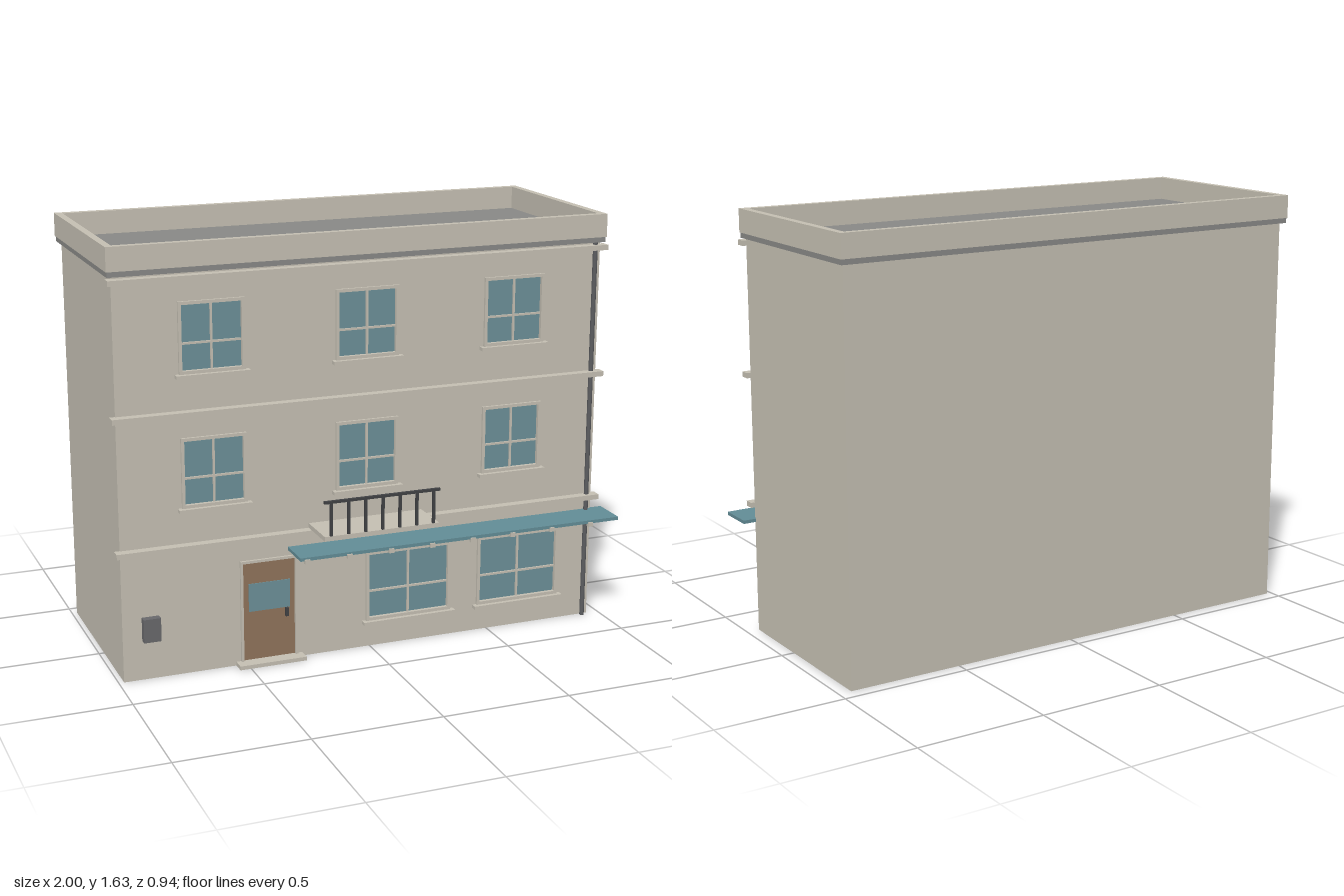
import * as THREE from 'three';

const mat = (name, color, extra = {}) => {
  const m = new THREE.MeshStandardMaterial({ color, ...extra });
  m.name = name;
  return m;
};

export function createModel() {
  const stone = mat('stone', 0xc4bfb2);
  const roofGrey = mat('roof grey', 0x888886);
  const glass = mat('glass', 0x6c8f97);
  const awningBlue = mat('awning blue', 0x628c96);
  const wood = mat('door wood', 0x8f735b);
  const iron = mat('iron', 0x404144);
  const pipeGrey = mat('pipe grey', 0x5c5d60);
  const boxGrey = mat('box grey', 0x68686b);

  const model = new THREE.Group();
  model.name = 'townhouse';

  const group = (name) => {
    const g = new THREE.Group();
    g.name = name;
    model.add(g);
    return g;
  };
  // Box given by its limits on each axis
  const box = (parent, name, material, [x0, x1], [y0, y1], [z0, z1]) => {
    const mesh = new THREE.Mesh(new THREE.BoxGeometry(x1 - x0, y1 - y0, z1 - z0), material);
    mesh.position.set((x0 + x1) / 2, (y0 + y1) / 2, (z0 + z1) / 2);
    mesh.name = name;
    parent.add(mesh);
    return mesh;
  };
  const rectPath = (path, x0, x1, y0, y1) =>
    path.moveTo(x0, y0).lineTo(x1, y0).lineTo(x1, y1).lineTo(x0, y1).closePath();

  const L = -0.98, R = 0.95, BACK = -0.45, FRONT = 0.3, T = 0.022, WALL_TOP = 1.526;

  // Window openings: centre x, width, bottom, top
  const windows = [];
  for (const y of [1.154, 0.65])
    for (const x of [-0.617, -0.015, 0.587]) windows.push({ x, w: 0.25, y0: y, y1: y + 0.266 });
  for (const x of [0.16, 0.63]) windows.push({ x, w: 0.354, y0: 0.107, y1: 0.388 });
  const door = { x0: -0.524, x1: -0.297, y0: 0.01, y1: 0.415 };

  // Hollow shell, open underneath, front wall pierced by the openings
  const walls = group('walls');
  const facade = rectPath(new THREE.Shape(), L, R, 0, WALL_TOP);
  const inset = 0.006;
  for (const { x, w, y0, y1 } of windows)
    facade.holes.push(rectPath(new THREE.Path(), x - w / 2 + inset, x + w / 2 - inset, y0 + inset, y1 - inset));
  facade.holes.push(rectPath(new THREE.Path(), door.x0 + inset, door.x1 - inset, door.y0, door.y1 - inset));
  const front = new THREE.Mesh(new THREE.ExtrudeGeometry(facade, { depth: T, bevelEnabled: false }), stone);
  front.position.z = FRONT - T;
  front.name = 'frontWall';
  walls.add(front);
  box(walls, 'backWall', stone, [L, R], [0, WALL_TOP], [BACK, BACK + T]);
  box(walls, 'rightWall', stone, [L, L + T], [0, WALL_TOP], [BACK + T, FRONT - T]);
  box(walls, 'leftWall', stone, [R - T, R], [0, WALL_TOP], [BACK + T, FRONT - T]);

  // Roof slab and parapet
  const roof = group('roof');
  const px0 = -1, px1 = 0.967, pz0 = -0.472, pz1 = 0.32, pt = 0.028, py = [1.546, 1.635];
  box(roof, 'roofSlab', roofGrey, [px0 + 0.003, px1 - 0.003], [WALL_TOP, 1.546], [pz0 + 0.003, pz1 - 0.003]);
  box(roof, 'parapetFront', stone, [px0, px1], py, [pz1 - pt, pz1]);
  box(roof, 'parapetBack', stone, [px0, px1], py, [pz0, pz0 + pt]);
  box(roof, 'parapetRight', stone, [px0, px0 + pt], py, [pz0 + pt, pz1 - pt]);
  box(roof, 'parapetLeft', stone, [px1 - pt, px1], py, [pz0 + pt, pz1 - pt]);

  // Horizontal string courses
  const courses = group('stringCourses');
  for (const y of [0.494, 0.999, 1.498])
    box(courses, 'stringCourse', stone, [px0, px1], [y, y + 0.02], [0.296, 0.335]);

  // Frame of two jambs and a head, with an optional bottom bar
  const frame = (parent, x0, x1, y0, y1, bar, bottom) => {
    const z = [0.288, 0.31];
    box(parent, 'jamb', stone, [x0, x0 + bar], [y0, y1], z);
    box(parent, 'jamb', stone, [x1 - bar, x1], [y0, y1], z);
    box(parent, 'head', stone, [x0 + bar, x1 - bar], [y1 - bar, y1], z);
    if (bottom) box(parent, 'bottomBar', stone, [x0 + bar, x1 - bar], [y0, y0 + bar], z);
  };

  // Windows with muntins and sill
  for (const { x, w, y0, y1 } of windows) {
    const g = group('window');
    const x0 = x - w / 2, x1 = x + w / 2, b = 0.012;
    frame(g, x0, x1, y0, y1, b, true);
    box(g, 'pane', glass, [x0 + b, x1 - b], [y0 + b, y1 - b], [0.289, 0.295]);
    const my = y0 + (y1 - y0) * 0.42;
    box(g, 'verticalMuntin', stone, [x - 0.004, x + 0.004], [y0 + b, y1 - b], [0.294, 0.302]);
    box(g, 'horizontalMuntin', stone, [x0 + b, x1 - b], [my - 0.004, my + 0.004], [0.294, 0.3015]);
    box(g, 'sill', stone, [x0 - 0.015, x1 + 0.015], [y0 - 0.013, y0], [0.296, 0.326]);
  }

  // Entrance door
  const entrance = group('entrance');
  frame(entrance, door.x0, door.x1, door.y0, door.y1, 0.01, false);
  box(entrance, 'doorLeaf', wood, [door.x0 + 0.01, door.x1 - 0.01], [door.y0, door.y1 - 0.01], [0.285, 0.298]);
  box(entrance, 'doorPane', glass, [-0.49, -0.326], [0.209, 0.32], [0.297, 0.301]);
  box(entrance, 'doorHandle', iron, [-0.346, -0.335], [0.175, 0.209], [0.297, 0.312]);
  box(entrance, 'doorstep', stone, [-0.543, -0.278], [0, 0.015], [0.296, 0.35]);

  // Balcony with railing
  const balcony = group('balcony');
  box(balcony, 'balconySlab', stone, [-0.249, 0.212], [0.514, 0.532], [0.296, 0.471]);
  box(balcony, 'handrail', iron, [-0.249, 0.215], [0.658, 0.668], [0.46, 0.472]);
  for (let i = 0; i < 7; i++) {
    const x = -0.222 + i * 0.0687;
    box(balcony, 'baluster', iron, [x - 0.005, x + 0.005], [0.532, 0.658], [0.461, 0.471]);
  }

  // Shop awning with small brackets along its edge
  const awning = group('awning');
  box(awning, 'awningSheet', awningBlue, [-0.333, 1], [0.436, 0.449], [0.296, 0.44]);
  for (let i = 0; i < 8; i++) {
    const x = -0.307 + i * 0.1688;
    box(awning, 'awningBracket', stone, [x - 0.01, x + 0.01], [0.425, 0.442], [0.432, 0.446]);
  }

  // Drainpipe and meter box
  const pipe = new THREE.Mesh(new THREE.CylinderGeometry(0.009, 0.009, WALL_TOP, 12), pipeGrey);
  pipe.position.set(0.924, WALL_TOP / 2, 0.311);
  pipe.name = 'drainpipe';
  model.add(pipe);
  box(model, 'meterBox', boxGrey, [-0.906, -0.84], [0.155, 0.246], [0.298, 0.329]);

  return model;
}
